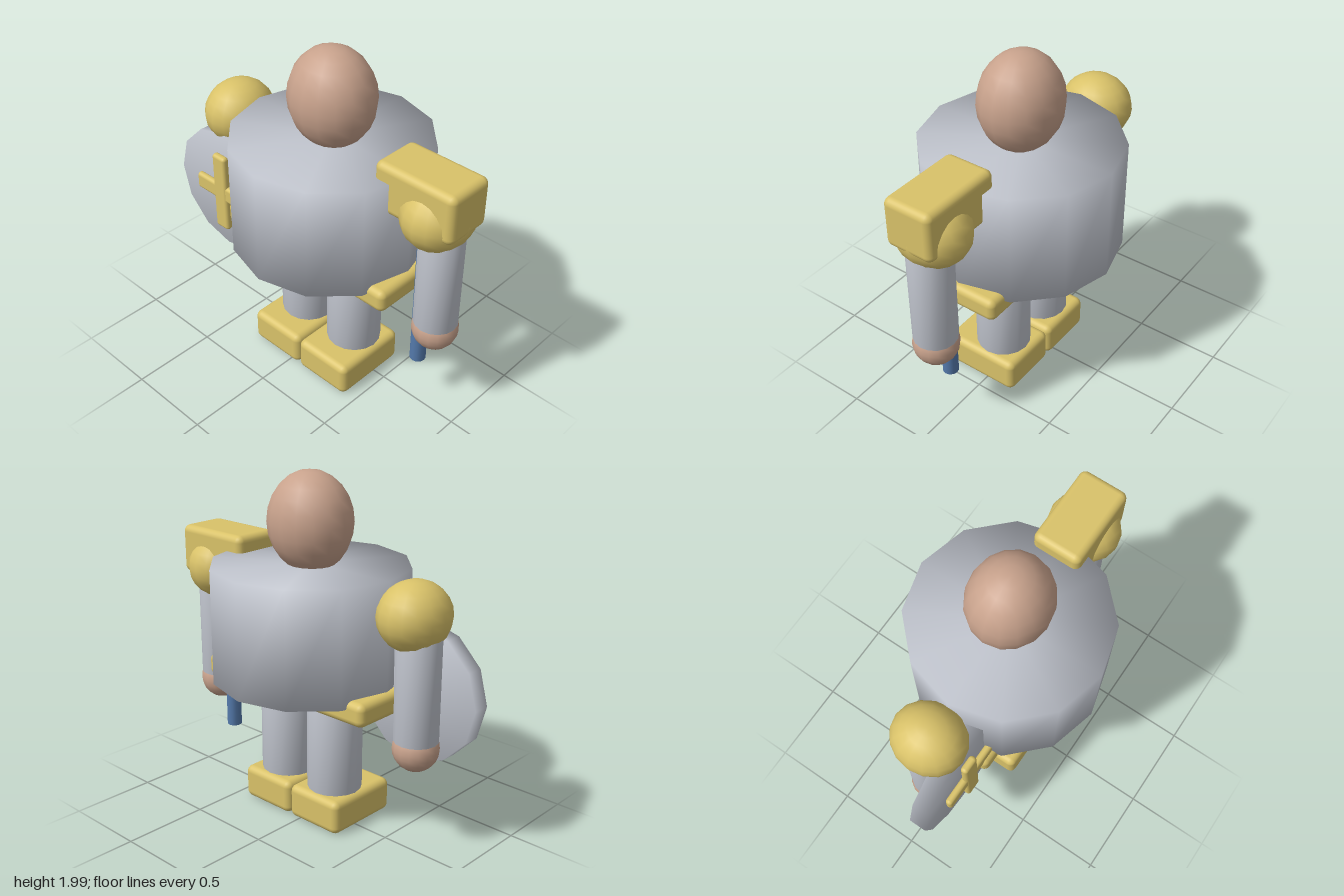
import * as THREE from 'three';
import { mergeVertices } from 'three/addons/utils/BufferGeometryUtils.js';
import { RoundedBoxGeometry } from 'three/addons/geometries/RoundedBoxGeometry.js';

const flat = (name, color) => Object.assign(new THREE.MeshStandardMaterial({ color }), { name });

// Capped cylinder whose rim normals are shared, so shading rolls over the edge
function softCylinder(radius, height, sides) {
  const g = new THREE.CylinderGeometry(radius, radius, height, sides);
  g.deleteAttribute('normal');
  g.deleteAttribute('uv');
  const merged = mergeVertices(g, 1e-4);
  merged.computeVertexNormals();
  return merged;
}

export function createModel() {
  const silver = flat('silver', 0xc0c4cd);
  const gold = flat('gold', 0xd9c269);
  const skin = flat('skin', 0xc8a28c);
  const blue = flat('blue', 0x557bad);

  const model = new THREE.Group();
  model.name = 'figure';
  const midX = 0.07; // body centre line

  function add(name, geometry, material, x, y, z = 0) {
    const mesh = new THREE.Mesh(geometry, material);
    mesh.name = name;
    mesh.position.set(x, y, z);
    model.add(mesh);
    return mesh;
  }
  const box = (w, h, d, r) => new RoundedBoxGeometry(w, h, d, 3, r);
  const ball = (rx, ry, rz) => new THREE.SphereGeometry(1, 16, 12).scale(rx, ry, rz);

  // Head, barrel torso and belt plate
  add('head', ball(0.248, 0.28, 0.228), skin, midX, 1.72);
  add('torso', softCylinder(0.56, 0.65, 12), silver, midX, 1.165);
  add('belt', box(1.195, 0.135, 0.5, 0.04), gold, midX, 0.8175);

  // Limbs, mirrored about the body centre line
  for (const [side, s] of [['left', 1], ['right', -1]]) {
    add(side + 'Leg', softCylinder(0.157, 0.65, 16), silver, midX + s * 0.185, 0.475);
    add(side + 'Foot', box(0.366, 0.2, 0.47, 0.04), gold, midX + s * 0.185, 0.11, 0.045);
    add(side + 'Shoulder', ball(0.19, 0.19, 0.212), gold, midX + s * 0.727, 1.345);
    add(side + 'Arm', softCylinder(0.122, 0.64, 16), silver, midX + s * 0.762, 0.99);
    add(side + 'Hand', ball(0.128, 0.128, 0.128), skin, midX + s * 0.762, 0.626);
  }

  // Shoulder block and rod on the left side
  add('shoulderBlock', box(0.5, 0.285, 0.29, 0.04), gold, 0.735, 1.4425);
  add('rod', softCylinder(0.045, 0.965, 12), blue, 0.733, 0.8175);

  // Round shield with a raised cross on the right side
  const shieldX = -0.615, shieldY = 0.893;
  const shield = softCylinder(0.385, 0.1, 12).rotateX(Math.PI / 2);
  add('shield', shield, silver, shieldX, shieldY, 0.13);
  add('crossUpright', box(0.105, 0.505, 0.045, 0.02), gold, shieldX, shieldY, 0.206);
  add('crossBar', box(0.41, 0.105, 0.042, 0.02), gold, shieldX, shieldY, 0.203);

  return model;
}
